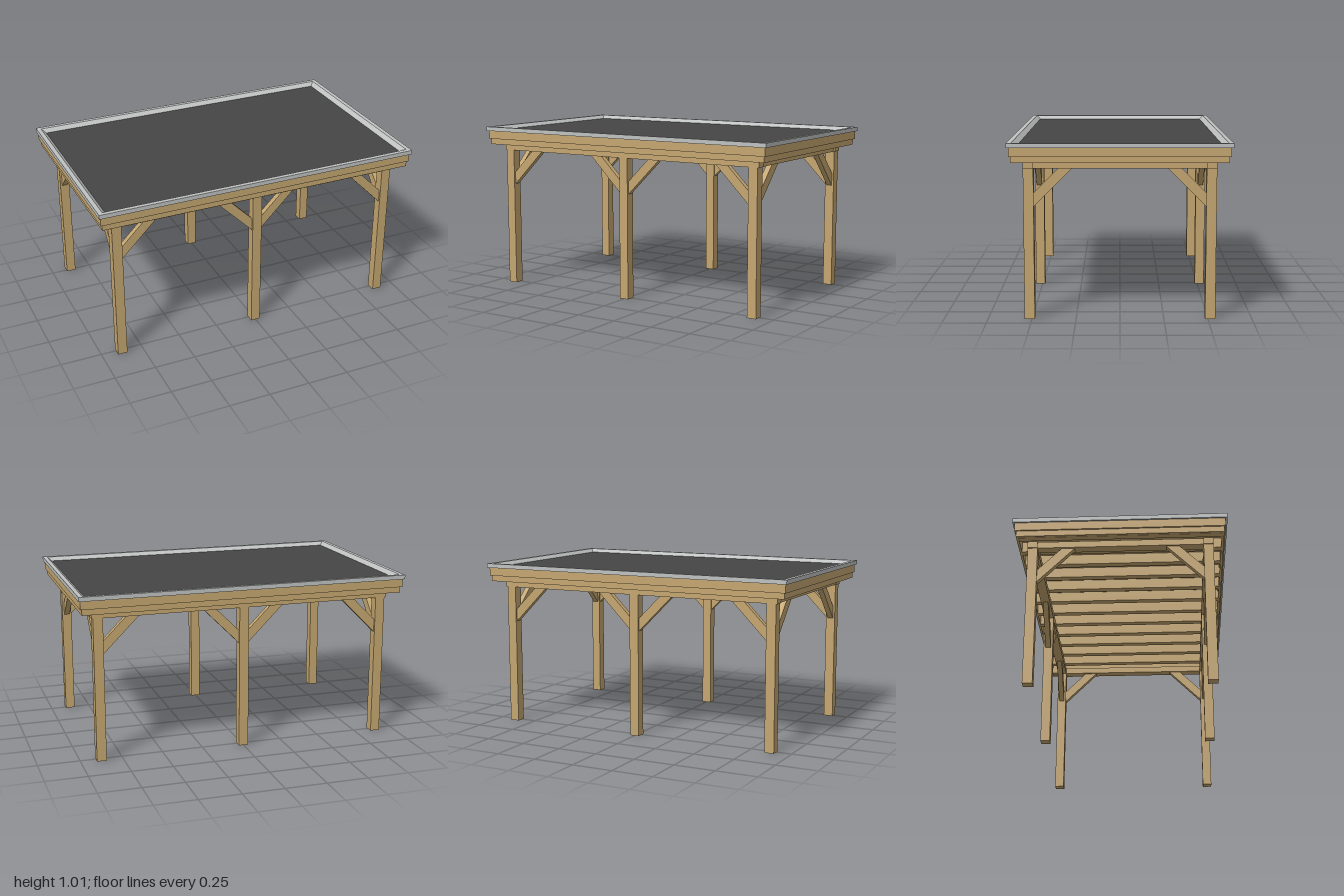
import * as THREE from 'three';

const timber = new THREE.MeshStandardMaterial({ color: 0xc4a670 });
timber.name = 'timber';
const roofing = new THREE.MeshStandardMaterial({ color: 0x464646 });
roofing.name = 'roofing';
const metal = new THREE.MeshStandardMaterial({ color: 0xc0c2c2 });
metal.name = 'metal trim';

// Box given by its lower and upper limits
function box(parent, name, material, [x0, y0, z0], [x1, y1, z1]) {
  const mesh = new THREE.Mesh(new THREE.BoxGeometry(x1 - x0, y1 - y0, z1 - z0), material);
  mesh.position.set((x0 + x1) / 2, (y0 + y1) / 2, (z0 + z1) / 2);
  mesh.name = name;
  parent.add(mesh);
  return mesh;
}

// Rectangular ring of four boards, long boards running past the short ones
function boardRing(parent, name, hx, hz, y0, y1, t) {
  for (const s of [-1, 1]) {
    box(parent, name + 'Long', timber, [-hx, y0, s * (hz - t / 2) - t / 2], [hx, y1, s * (hz - t / 2) + t / 2]);
    box(parent, name + 'Short', timber, [s * (hx - t / 2) - t / 2, y0, -hz + t], [s * (hx - t / 2) + t / 2, y1, hz - t]);
  }
}

// 45 degree brace, starting at the post face and rising along local +x
const braceShape = new THREE.Shape([
  new THREE.Vector2(0, 0.645), new THREE.Vector2(0.217, 0.862),
  new THREE.Vector2(0.14, 0.862), new THREE.Vector2(0, 0.722),
]);
const braceGeometry = new THREE.ExtrudeGeometry(braceShape, { depth: 0.034, bevelEnabled: false });
braceGeometry.translate(0, 0, -0.017);

function brace(parent, x, z, angle) {
  const mesh = new THREE.Mesh(braceGeometry, timber);
  mesh.position.set(x, 0, z);
  mesh.rotation.y = angle;
  mesh.name = 'brace';
  parent.add(mesh);
}

// Mitred frame: a cross-section of [inset, y] swept round a rectangle
function mitredFrame(hx, hz, profile) {
  const corners = [[-1, 1], [1, 1], [1, -1], [-1, -1]];
  const point = (c, p) => [c[0] * (hx - p[0]), p[1], c[1] * (hz - p[0])];
  const positions = [];
  corners.forEach((a, i) => {
    const b = corners[(i + 1) % 4];
    profile.forEach((p, j) => {
      const q = profile[(j + 1) % profile.length];
      const [a0, b0, a1, b1] = [point(a, p), point(b, p), point(a, q), point(b, q)];
      positions.push(...a0, ...b0, ...b1, ...a0, ...b1, ...a1);
    });
  });
  const geometry = new THREE.BufferGeometry();
  geometry.setAttribute('position', new THREE.Float32BufferAttribute(positions, 3));
  geometry.computeVertexNormals();
  return geometry;
}

export function createModel() {
  const model = new THREE.Group();
  model.name = 'carport';

  // Posts: three along the front and three along the back
  const frame = new THREE.Group();
  frame.name = 'postFrame';
  model.add(frame);
  const postX = 0.878, postZ = 0.513, half = 0.029;
  for (const sz of [-1, 1]) {
    for (const sx of [-1, 0, 1]) {
      const x = sx * postX, z = sz * postZ;
      box(frame, 'post', timber, [x - half, 0, z - half], [x + half, 0.862, z + half]);
      // Braces along the long beam
      if (sx <= 0) brace(frame, x + half, z, 0);
      if (sx >= 0) brace(frame, x - half, z, Math.PI);
      // Braces along the side beam
      if (sx !== 0) brace(frame, x, z - sz * half, sz * Math.PI / 2);
    }
    // Long beam on top of the posts
    box(frame, 'longBeam', timber, [-0.915, 0.862, sz * postZ - half], [0.915, 0.902, sz * postZ + half]);
    // Side beam
    const bx = sz * postX;
    box(frame, 'sideBeam', timber, [bx - half, 0.862, -postZ + half], [bx + half, 0.902, postZ - half]);
  }

  // Rafters
  const rafters = new THREE.Group();
  rafters.name = 'rafters';
  model.add(rafters);
  const count = 13;
  for (let i = 0; i < count; i++) {
    const x = -0.94 + (1.88 * i) / (count - 1);
    box(rafters, 'rafter', timber, [x - 0.02, 0.902, -0.59], [x + 0.02, 0.966, 0.59]);
  }

  // Deck boards and fascia
  box(model, 'roofDeck', timber, [-0.97, 0.966, -0.592], [0.97, 0.982, 0.592]);
  boardRing(model, 'lowerFascia', 0.98, 0.604, 0.9, 0.935, 0.014);
  boardRing(model, 'upperFascia', 0.99, 0.613, 0.935, 0.986, 0.022);

  // Roof covering and sloped metal edge trim
  box(model, 'roofCovering', roofing, [-0.96, 0.982, -0.585], [0.96, 0.989, 0.585]);
  const trim = new THREE.Mesh(
    mitredFrame(1, 0.625, [[0, 0.985], [0, 1.011], [0.026, 1.011], [0.053, 0.988], [0.053, 0.985]]),
    metal,
  );
  trim.name = 'edgeTrim';
  model.add(trim);

  return model;
}
